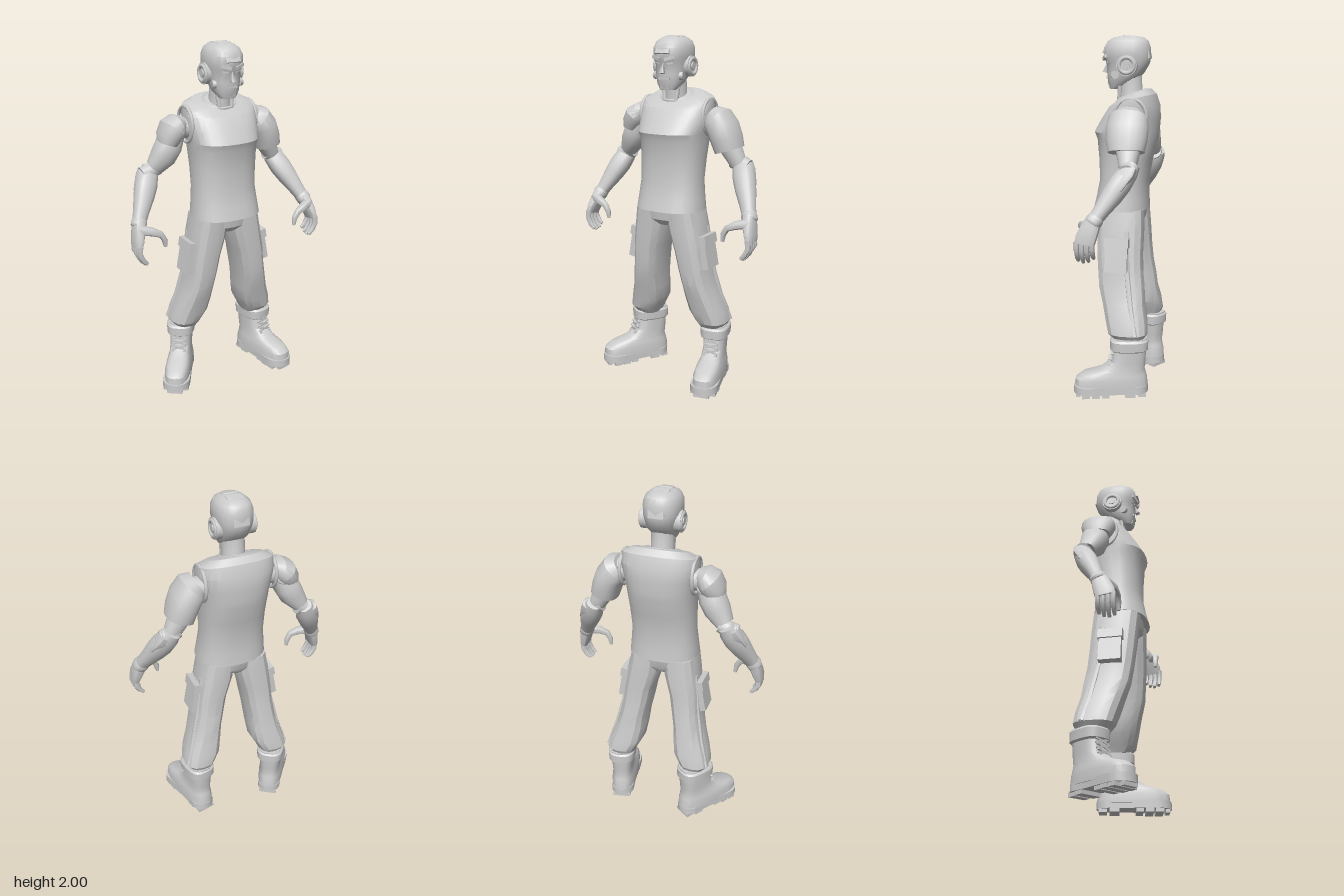
import * as THREE from 'three';
import { toCreasedNormals } from 'three/addons/utils/BufferGeometryUtils.js';

const V = (x, y, z) => new THREE.Vector3(x, y, z);
const grey = new THREE.MeshStandardMaterial({ color: 0xcccccc });
grey.name = 'plain grey';

function add(parent, name, geo, pos = [0, 0, 0], rot = [0, 0, 0]) {
  const mesh = new THREE.Mesh(geo, grey);
  mesh.name = name;
  mesh.position.set(...pos);
  mesh.rotation.set(...rot);
  parent.add(mesh);
  return mesh;
}

// Skin over superellipse rings [x, y, z, radiusU, radiusV]. Level rings lie flat
// (U = z, V = x, listed upwards); otherwise they turn with the path (U near z).
function loft(rings, { level = false, sides = 16, power = 2.4, crease = 0.6, bend = () => {} } = {}) {
  const pos = [], idx = [], n = rings.length;
  const c = rings.map(r => V(r[0], r[1], r[2]));
  const put = p => { bend(p); pos.push(p.x, p.y, p.z); };
  rings.forEach((r, i) => {
    const w = level ? V(0, 1, 0)
      : c[Math.min(i + 1, n - 1)].clone().sub(c[Math.max(i - 1, 0)]).normalize();
    const u = V(0, 0, 1).addScaledVector(w, -w.z).normalize();
    const v = w.clone().cross(u);
    for (let j = 0; j < sides; j++) {
      const t = (j / sides) * Math.PI * 2;
      const f = a => Math.sign(a) * Math.abs(a) ** (2 / power);
      put(c[i].clone().addScaledVector(u, f(Math.cos(t)) * r[3]).addScaledVector(v, f(Math.sin(t)) * r[4]));
    }
  });
  for (let i = 0; i < n - 1; i++) for (let j = 0; j < sides; j++) {
    const k = (j + 1) % sides, a = i * sides + j, b = i * sides + k;
    idx.push(a, b, b + sides, a, b + sides, a + sides);
  }
  const s = n * sides;
  put(c[0].clone());
  put(c[n - 1].clone());
  for (let j = 0; j < sides; j++) {
    const k = (j + 1) % sides, e = (n - 1) * sides;
    idx.push(s, k, j, s + 1, e + j, e + k);
  }
  const g = new THREE.BufferGeometry();
  g.setAttribute('position', new THREE.Float32BufferAttribute(pos, 3));
  g.setIndex(idx);
  return toCreasedNormals(g, crease);
}

const box = (x, y, z) => new THREE.BoxGeometry(x, y, z);
const disc = (r, h, n = 18) => new THREE.CylinderGeometry(r, r, h, n);

function buildHead() {
  const head = new THREE.Group();
  head.name = 'head';
  add(head, 'skull', loft([
    [0, 1.705, 0.045, 0.03, 0.046], [0, 1.74, 0.016, 0.072, 0.07], [0, 1.79, -0.012, 0.102, 0.086],
    [0, 1.845, -0.028, 0.12, 0.092], [0, 1.875, -0.022, 0.131, 0.1], [0, 1.93, -0.022, 0.13, 0.1],
    [0, 1.965, -0.026, 0.114, 0.086], [0, 1.985, -0.03, 0.085, 0.06], [0, 1.993, -0.03, 0.04, 0.03],
  ], { level: true, sides: 20 }));
  // raised strip over the crown
  const strip = new THREE.CatmullRomCurve3([V(0, 1.9, 0.108), V(0, 1.955, 0.075), V(0, 1.987, 0),
    V(0, 1.982, -0.075), V(0, 1.945, -0.127), V(0, 1.87, -0.147)]).getPoints(12);
  add(head, 'crownStrip', loft(strip.map(p => [p.x, p.y, p.z, 0.009, 0.045]), { power: 5, sides: 12 }));
  add(head, 'nose', new THREE.ConeGeometry(0.018, 0.06, 4), [0, 1.825, 0.1], [-0.25, Math.PI / 4, 0]);
  add(head, 'mouth', box(0.07, 0.012, 0.014), [0, 1.768, 0.083]);
  add(head, 'chin', box(0.06, 0.03, 0.03), [0, 1.727, 0.066], [0.2, 0, 0]);
  for (const s of [-1, 1]) {
    add(head, 'brow', box(0.06, 0.018, 0.02), [s * 0.04, 1.877, 0.096], [0, s * 0.4, s * 0.25]);
    add(head, 'eye', box(0.036, 0.011, 0.006), [s * 0.038, 1.851, 0.086], [0, s * 0.35, s * 0.2]);
    add(head, 'jawHinge', disc(0.022, 0.02, 14), [s * 0.079, 1.782, 0.035], [0, s * 0.3, Math.PI / 2]);
    add(head, 'earCup', disc(0.058, 0.035), [s * 0.093, 1.832, -0.035], [0, 0, Math.PI / 2]);
    add(head, 'earRim', new THREE.TorusGeometry(0.042, 0.012, 8, 18), [s * 0.108, 1.832, -0.035], [0, Math.PI / 2, 0]);
    add(head, 'earHub', disc(0.02, 0.016, 12), [s * 0.11, 1.832, -0.035], [0, 0, Math.PI / 2]);
    add(head, 'neckStrut', loft([[s * 0.035, 1.63, 0.02, 0.012, 0.012], [s * 0.05, 1.76, 0.01, 0.012, 0.012]], { sides: 8 }));
  }
  add(head, 'neck', loft([[0, 1.6, -0.055, 0.085, 0.08], [0, 1.68, -0.04, 0.068, 0.062],
    [0, 1.79, -0.03, 0.072, 0.062]], { level: true, power: 2 }));
  head.position.x = 0.005;
  return head;
}

function buildTorso() {
  const torso = new THREE.Group();
  torso.name = 'torso';
  // the neckline drops at the front and rises at the back
  const slope = p => { p.y -= (p.z + 0.065) * 0.36 * THREE.MathUtils.smoothstep(p.y, 1.6, 1.69); };
  add(torso, 'shirt', loft([
    [0.006, 1.035, 0.008, 0.157, 0.2], [0.005, 1.1, 0.002, 0.147, 0.193], [0.004, 1.2, -0.008, 0.137, 0.183],
    [0.006, 1.32, -0.017, 0.15, 0.186], [0.007, 1.43, -0.028, 0.17, 0.192], [0.007, 1.47, -0.022, 0.18, 0.198],
    [0.008, 1.54, -0.045, 0.162, 0.208], [0.008, 1.61, -0.066, 0.138, 0.214], [0.008, 1.652, -0.07, 0.112, 0.21],
    [0.006, 1.678, -0.063, 0.089, 0.155], [0.005, 1.683, -0.057, 0.074, 0.1],
  ], { level: true, sides: 28, power: 2.5, crease: 0.4, bend: slope }));
  const collar = add(torso, 'collar', new THREE.TorusGeometry(0.094, 0.009, 8, 24), [0.003, 1.672, -0.052], [Math.PI / 2 + 0.34, 0, 0]);
  collar.scale.y = 0.9;
  for (const s of [-1, 1]) {
    const hole = add(torso, 'armhole', new THREE.TorusGeometry(0.094, 0.01, 8, 20), [s * 0.2 + 0.006, 1.558, -0.073], [0, Math.PI / 2, 0]);
    hole.scale.set(0.95, 1.05, 1);
  }
  add(torso, 'hips', loft([[0, 0.945, -0.005, 0.1, 0.06], [0, 0.98, 0, 0.128, 0.16],
    [0, 1.06, 0, 0.138, 0.185]], { level: true, sides: 20 }));
  return torso;
}

function buildBoot(pos, turn, name) {
  const boot = new THREE.Group();
  boot.name = name;
  const sole = new THREE.Shape();
  sole.absarc(0, 0, 0.07, 0, Math.PI, false);
  sole.bezierCurveTo(-0.062, -0.1, -0.08, -0.18, -0.08, -0.265);
  sole.absarc(0, -0.27, 0.08, Math.PI, Math.PI * 2, false);
  sole.bezierCurveTo(0.08, -0.18, 0.062, -0.1, 0.07, 0);
  const soleGeo = new THREE.ExtrudeGeometry(sole, { depth: 0.042, bevelEnabled: false, curveSegments: 8 });
  add(boot, 'sole', toCreasedNormals(soleGeo, 0.6), [0, 0.02, 0], [-Math.PI / 2, 0, 0]);
  // tread blocks
  for (const [z, w, d] of [[-0.035, 0.105, 0.045], [0.03, 0.125, 0.055], [0.17, 0.13, 0.04],
    [0.225, 0.148, 0.045], [0.28, 0.148, 0.045], [0.325, 0.09, 0.025]])
    add(boot, 'tread', box(w, 0.022, d), [0, 0.011, z]);
  add(boot, 'upper', loft([
    [0, 0.05, 0.137, 0.206, 0.076], [0, 0.1, 0.137, 0.202, 0.076], [0, 0.13, 0.122, 0.18, 0.07],
    [0, 0.155, 0.077, 0.128, 0.063], [0, 0.2, 0.043, 0.098, 0.063], [0, 0.34, 0.028, 0.092, 0.068],
  ], { level: true, sides: 24, power: 2.9 }));
  add(boot, 'ankleBand', loft([[0, 0.268, 0.037, 0.098, 0.074], [0, 0.275, 0.037, 0.107, 0.081],
    [0, 0.325, 0.037, 0.108, 0.083], [0, 0.335, 0.037, 0.098, 0.076]], { level: true, sides: 20, power: 3 }));
  add(boot, 'tongue', box(0.06, 0.12, 0.02), [0, 0.215, 0.132], [-0.3, 0, 0]);
  for (let i = 0; i < 4; i++) for (const s of [-1, 1])
    add(boot, 'lace', box(0.085, 0.011, 0.012), [0, 0.17 + i * 0.03, 0.158 - i * 0.009], [0, 0, s * 0.3]);
  boot.position.set(...pos);
  boot.rotation.y = turn;
  return boot;
}

function buildLeg(s, dx, dz) {
  const leg = new THREE.Group();
  leg.name = s > 0 ? 'leftLeg' : 'rightLeg';
  const rings = [
    [0.245, 0.325, -0.077, 0.085, 0.07], [0.25, 0.365, -0.07, 0.112, 0.092], [0.225, 0.43, -0.058, 0.118, 0.104],
    [0.2, 0.52, -0.038, 0.121, 0.094], [0.182, 0.61, -0.022, 0.131, 0.085], [0.163, 0.7, -0.012, 0.13, 0.086],
    [0.147, 0.8, -0.006, 0.132, 0.09], [0.115, 0.93, -0.004, 0.135, 0.1], [0.097, 1.04, 0, 0.136, 0.094],
  ].map(([x, y, z, a, b]) => {
    const k = Math.min(1, (1.04 - y) / 0.6);
    return [s * x + dx * k, y, z + dz * k, a, b];
  });
  add(leg, 'trouserLeg', loft(rings, { level: true, sides: 14, power: 2.6, crease: 0.45 }));
  // side pocket with flap
  const pocket = new THREE.Group();
  pocket.name = 'cargoPocket';
  add(pocket, 'pouch', box(0.045, 0.18, 0.125));
  add(pocket, 'flap', box(0.056, 0.055, 0.138), [s * 0.004, 0.075, 0]);
  pocket.position.set(s * 0.241 + dx * 0.35, 0.795, -0.003 + dz * 0.35);
  pocket.rotation.z = s * 0.18;
  leg.add(pocket);
  // outer seam strip
  add(leg, 'seam', loft([1, 3, 5, 7].map(i => [rings[i][0] + s * rings[i][4] * 0.9, rings[i][1], rings[i][2] - 0.05, 0.015, 0.012]), { sides: 8 }));
  return leg;
}

// Hand hanging from the wrist, palm turned inwards
function buildHand(s, x, y, z) {
  const hand = new THREE.Group();
  hand.name = s > 0 ? 'leftHand' : 'rightHand';
  const at = (a, b, c, u, v) => [s * (x + a), y + b, z + c, u, v];
  add(hand, 'palm', loft([at(-0.005, 0.02, -0.005, 0.038, 0.034), at(0.01, -0.03, 0.015, 0.05, 0.03),
    at(0.026, -0.085, 0.036, 0.056, 0.025), at(0.032, -0.115, 0.042, 0.052, 0.019)], { power: 3, sides: 14 }));
  for (let i = 0; i < 4; i++) {
    const c = 0.002 + i * 0.027, len = [0.85, 1, 1.05, 0.97][i];
    add(hand, 'finger', loft([at(0.03, -0.095, c, 0.014, 0.017), at(0.034, -0.095 - 0.05 * len, c, 0.014, 0.016),
      at(0.015, -0.095 - 0.09 * len, c, 0.013, 0.014), at(-0.008, -0.095 - 0.115 * len, c, 0.009, 0.01)], { sides: 8 }));
  }
  add(hand, 'thumb', loft([at(0.01, -0.02, 0.035, 0.03, 0.028), at(-0.05, -0.03, 0.068, 0.026, 0.023),
    at(-0.095, -0.05, 0.08, 0.018, 0.018), at(-0.115, -0.085, 0.08, 0.016, 0.015),
    at(-0.12, -0.125, 0.08, 0.01, 0.01)], { sides: 10 }));
  return hand;
}

function buildArm(s, elbowZ, wrist) {
  const arm = new THREE.Group();
  arm.name = s > 0 ? 'leftArm' : 'rightArm';
  const [wx, wy, wz] = wrist, ex = 0.392, ey = 1.305;
  add(arm, 'shoulderJoint', disc(0.06, 0.1), [s * 0.22, 1.54, -0.078], [0, 0, Math.PI / 2]);
  add(arm, 'shoulderRing', new THREE.TorusGeometry(0.03, 0.01, 8, 16), [s * 0.245, 1.525, -0.14], [0, s * 0.5, 0]);
  const upper = s > 0
    ? [[0.28, 1.47, -0.075, 0.07, 0.06], [0.335, 1.39, -0.085, 0.065, 0.058], [ex - 0.01, ey, elbowZ + 0.02, 0.046, 0.045]]
    : [[0.255, 1.52, -0.08, 0.06, 0.055], [0.29, 1.45, -0.09, 0.08, 0.072], [0.322, 1.39, -0.097, 0.074, 0.07],
      [ex - 0.022, ey + 0.02, elbowZ + 0.025, 0.052, 0.048]];
  add(arm, 'upperArm', loft(upper.map(([x, ...r]) => [s * x, ...r])));
  // short sleeve on the left, bare shoulder plate on the right
  const cover = s > 0
    ? [[0.225, 1.565, -0.073, 0.075, 0.06], [0.255, 1.548, -0.072, 0.105, 0.08], [0.29, 1.5, -0.072, 0.114, 0.081],
      [0.314, 1.44, -0.072, 0.111, 0.079], [0.331, 1.382, -0.074, 0.098, 0.075]]
    : [[0.21, 1.57, -0.078, 0.05, 0.035], [0.24, 1.565, -0.078, 0.085, 0.057], [0.272, 1.542, -0.077, 0.1, 0.067],
      [0.296, 1.5, -0.075, 0.09, 0.062], [0.31, 1.46, -0.073, 0.072, 0.048]];
  add(arm, s > 0 ? 'sleeve' : 'shoulderPlate', loft(cover.map(([x, ...r]) => [s * x, ...r]), { sides: 18 }));
  add(arm, 'elbowJoint', disc(0.043, 0.1, 16), [s * ex, ey, elbowZ + 0.015], [0, 0, Math.PI / 2 - s * 0.3]);
  const mix = (t, a, b) => [s * (ex + (wx - ex) * t), ey + (wy - ey) * t, elbowZ + (wz - elbowZ) * t, a, b];
  add(arm, 'forearm', loft([mix(-0.08, 0.035, 0.04), mix(0.06, 0.05, 0.055), mix(0.28, 0.058, 0.062),
    mix(0.5, 0.055, 0.056), mix(0.78, 0.042, 0.043), mix(1, 0.036, 0.036)]));
  add(arm, 'forearmPlate', loft([mix(0, 0.03, 0.03), mix(0.12, 0.042, 0.034), mix(0.4, 0.036, 0.03), mix(0.55, 0.015, 0.015)]
    .map(([x, y, z, a, b]) => [x + s * 0.025, y + 0.01, z - 0.01, a, b]), { sides: 10, power: 3.5 }));
  add(arm, 'wristCuff', loft([mix(0.9, 0.037, 0.037), mix(0.94, 0.043, 0.041), mix(1.02, 0.044, 0.042), mix(1.05, 0.038, 0.036)]));
  arm.add(buildHand(s, wx, wy, wz));
  return arm;
}

export function createModel() {
  const model = new THREE.Group();
  model.name = 'standingFigure';
  model.add(buildHead(), buildTorso());
  model.add(buildArm(1, -0.11, [0.525, 1.045, 0.06]), buildArm(-1, -0.142, [0.52, 1.05, -0.012]));
  model.add(buildLeg(1, 0, 0), buildLeg(-1, 0.03, -0.025));
  model.add(buildBoot([0.253, 0, -0.115], 0.21, 'leftBoot'), buildBoot([-0.205, 0, -0.148], -0.61, 'rightBoot'));
  return model;
}
